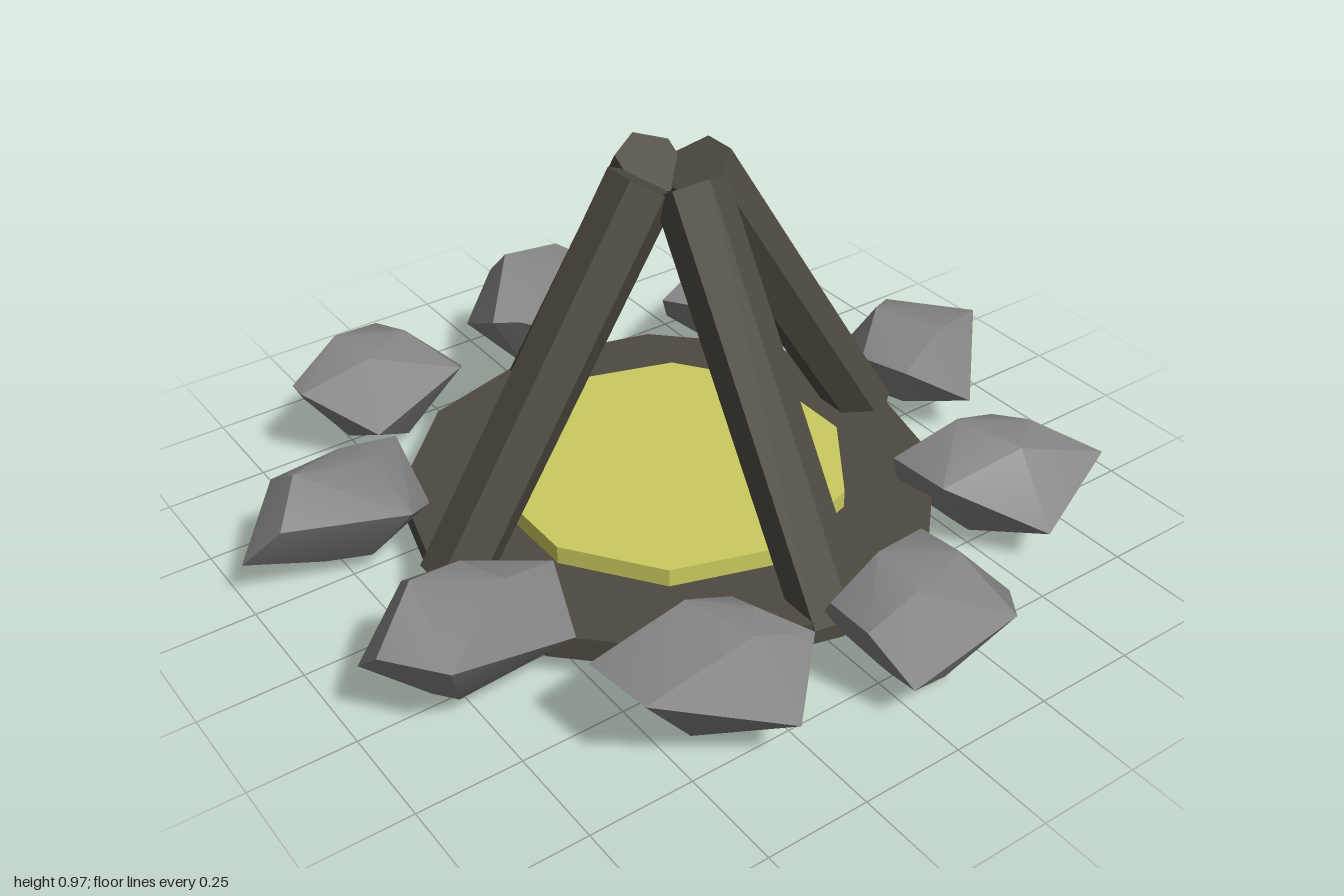
import * as THREE from 'three';
import { toCreasedNormals } from 'three/addons/utils/BufferGeometryUtils.js';
import { ConvexGeometry } from 'three/addons/geometries/ConvexGeometry.js';

function material(name, color) {
  const m = new THREE.MeshStandardMaterial({ color });
  m.name = name;
  return m;
}

const CENTER = -0.01; // x and z of the fire's middle
const BASE_BOTTOM = 0.06;

export function createModel() {
  const wood = material('charred wood', 0x4f4a40);
  const ember = material('glowing ember', 0xcaca5e);
  const stone = material('grey stone', 0x828282);

  const model = new THREE.Group();
  model.name = 'campfire';

  function add(name, geometry, mat, parent = model) {
    const mesh = new THREE.Mesh(geometry, mat);
    mesh.name = name;
    parent.add(mesh);
    return mesh;
  }

  // Flat faceted disc between two heights
  function disc(name, radius, sides, y0, y1, mat) {
    const geo = new THREE.CylinderGeometry(radius, radius, y1 - y0, sides);
    geo.translate(CENTER, (y0 + y1) / 2, CENTER);
    add(name, toCreasedNormals(geo, 0.3), mat);
  }
  disc('ashBase', 0.65, 12, BASE_BOTTOM, 0.12, wood);
  disc('emberBed', 0.43, 10, 0.12, 0.165, ember);

  // Four hexagonal logs leaning together at the top
  const logs = new THREE.Group();
  logs.name = 'logs';
  model.add(logs);
  const topR = 0.0735, topY = 0.925, footR = 0.603, footY = 0.08;
  const tilt = Math.atan2(footR - topR, topY - footY);
  const length = Math.hypot(footR - topR, topY - footY);
  for (const [name, dx, dz] of [
    ['leftLog', 1, 0], ['rightLog', -1, 0], ['frontLog', 0, 1], ['backLog', 0, -1],
  ]) {
    const geo = new THREE.CylinderGeometry(0.084, 0.084, length, 6);
    if (dx) geo.rotateZ(dx * tilt);
    else geo.rotateX(-dz * tilt);
    const r = (topR + footR) / 2;
    geo.translate(CENTER + dx * r, (topY + footY) / 2, CENTER + dz * r);
    // keep the foot inside the base
    const p = geo.attributes.position;
    for (let i = 0; i < p.count; i++) p.setY(i, Math.max(p.getY(i), BASE_BOTTOM + 0.004));
    add(name, toCreasedNormals(geo, 0.3), wood, logs);
  }

  // Ring of stones: each has a zigzag waist (x, z pairs), a crown and a foot
  const stones = new THREE.Group();
  stones.name = 'stoneRing';
  model.add(stones);
  function rock(top, bottom, waist) {
    const n = waist.length / 2;
    let cx = 0, cz = 0;
    for (let i = 0; i < n; i++) {
      cx += waist[2 * i] / n;
      cz += waist[2 * i + 1] / n;
    }
    const mid = (top + bottom) / 2;
    const points = [];
    for (let i = 0; i < n; i++) {
      const x = waist[2 * i], z = waist[2 * i + 1];
      const up = i % 2 === 0;
      points.push(new THREE.Vector3(x, mid + (up ? 0.06 : -0.05), z));
      // crown above the low corners, foot below the high ones
      const s = up ? 0.38 : 0.42;
      const drop = i % 3 === 1 ? 0 : 0.025;
      points.push(new THREE.Vector3(
        cx + (x - cx) * s, up ? bottom + drop : top - drop, cz + (z - cz) * s));
    }
    add('stone', toCreasedNormals(new ConvexGeometry(points), 0.6), stone, stones);
  }
  rock(0.29, 0.03, [0.60, -0.02, 0.63, -0.19, 0.85, -0.21, 0.94, -0.13, 1.0, -0.03, 0.81, 0.17, 0.64, 0.10]);
  rock(0.30, 0.03, [0.35, -0.55, 0.42, -0.63, 0.64, -0.68, 0.79, -0.60, 0.79, -0.51, 0.71, -0.33, 0.42, -0.45]);
  rock(0.34, 0.01, [-0.09, -0.70, -0.06, -0.90, 0.05, -0.95, 0.34, -0.93, 0.33, -0.76, 0.18, -0.62, -0.03, -0.66]);
  rock(0.32, 0.03, [-0.65, -0.73, -0.59, -0.82, -0.34, -0.88, -0.18, -0.72, -0.27, -0.56, -0.51, -0.56, -0.65, -0.68]);
  rock(0.30, 0.03, [-0.93, -0.21, -1.0, -0.29, -0.86, -0.41, -0.65, -0.45, -0.54, -0.40, -0.54, -0.25, -0.66, -0.10]);
  rock(0.33, 0.03, [-0.96, 0.30, -0.95, 0.18, -0.80, 0.11, -0.64, 0.12, -0.50, 0.24, -0.53, 0.37, -0.86, 0.43]);
  rock(0.33, 0.03, [-0.62, 0.56, -0.46, 0.51, -0.26, 0.56, -0.18, 0.68, -0.19, 0.75, -0.31, 0.86, -0.60, 0.73]);
  rock(0.31, 0.01, [-0.09, 0.68, -0.04, 0.60, 0.24, 0.60, 0.35, 0.78, 0.20, 0.94, -0.04, 0.90, -0.09, 0.80]);
  rock(0.30, 0.00, [0.38, 0.35, 0.43, 0.32, 0.70, 0.35, 0.82, 0.50, 0.80, 0.62, 0.58, 0.68, 0.39, 0.51]);

  return model;
}
